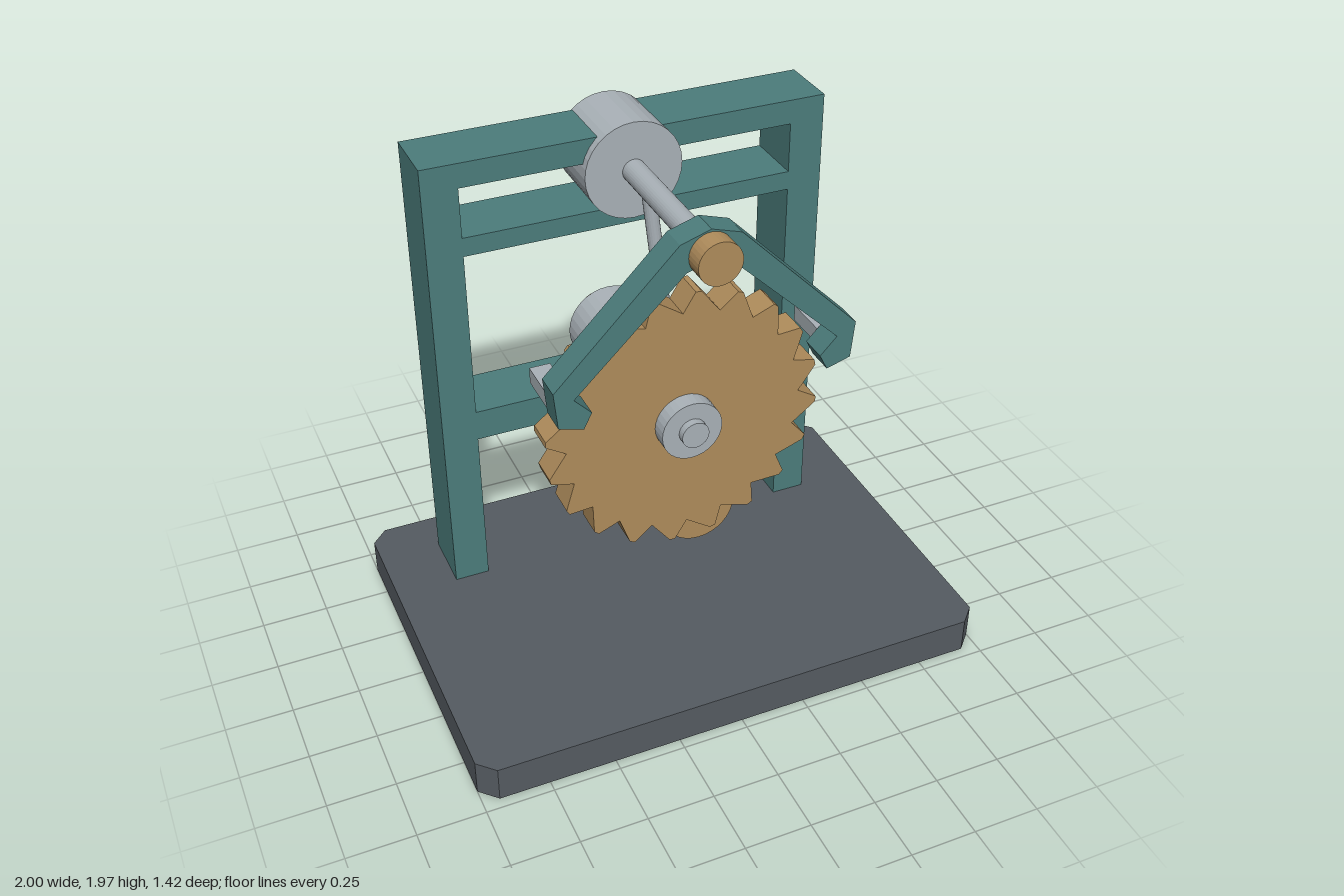
import * as THREE from 'three';

const mat = (color) => new THREE.MeshStandardMaterial({ color, flatShading: true });

export function createModel() {
  const model = new THREE.Group();
  model.name = 'pendulumEscapement';
  const teal = mat(0x4c7d7c), brass = mat(0xb08d5c), steel = mat(0xaab2b8), slate = mat(0x555b61);

  const add = (name, geometry, material) => {
    const mesh = new THREE.Mesh(geometry, material);
    mesh.name = name;
    model.add(mesh);
    return mesh;
  };
  // Box given by its minimum and maximum on each axis
  const box = (name, material, x0, x1, y0, y1, z0, z1) =>
    add(name, new THREE.BoxGeometry(x1 - x0, y1 - y0, z1 - z0), material)
      .position.set((x0 + x1) / 2, (y0 + y1) / 2, (z0 + z1) / 2);
  // Cylinder lying along z
  const disc = (name, material, r, x, y, z0, z1) =>
    add(name, new THREE.CylinderGeometry(r, r, z1 - z0, 32).rotateX(Math.PI / 2), material)
      .position.set(x, y, (z0 + z1) / 2);
  // Outline in x, y pushed from z0 to z1
  const plate = (name, material, points, z0, z1) => {
    const shape = new THREE.Shape(points.map(([x, y]) => new THREE.Vector2(x, y)));
    const geometry = new THREE.ExtrudeGeometry(shape, { depth: z1 - z0, bevelEnabled: false });
    return add(name, geometry.translate(0, 0, z0), material);
  };

  // Base with clipped corners
  const w = 1, d = 0.71, c = 0.062;
  plate('base', slate, [
    [-w + c, -d], [w - c, -d], [w, -d + c], [w, d - c],
    [w - c, d], [-w + c, d], [-w, d - c], [-w, -d + c],
  ], 0, 0.14).rotation.x = -Math.PI / 2;

  // Rear frame: two posts and three rails
  const zBack = -0.54, zFront = -0.3;
  box('rightPost', teal, -0.763, -0.63, 0.14, 1.925, zBack, zFront);
  box('leftPost', teal, 0.63, 0.763, 0.14, 1.925, zBack, zFront);
  for (const [name, y0, y1] of [
    ['topRail', 1.832, 1.925], ['upperRail', 1.567, 1.64], ['lowerRail', 0.785, 0.907],
  ]) box(name, teal, -0.63, 0.63, y0, y1, zBack, zFront);

  // Upper arbor
  const yTop = 1.787, yWheel = 1.0;
  disc('upperBearing', steel, 0.185, 0, yTop, -0.547, -0.267);
  disc('upperShaft', steel, 0.044, 0, yTop, -0.65, 0.44);
  disc('upperRearCap', brass, 0.082, 0, yTop, -0.657, -0.58);
  disc('upperFrontCap', brass, 0.08, 0, yTop, 0.37, 0.448);

  // Lower arbor
  disc('lowerBearing', steel, 0.163, 0, yWheel, -0.547, -0.267);
  disc('lowerShaft', steel, 0.052, 0, yWheel, -0.65, 0.275);
  disc('lowerRearCap', brass, 0.082, 0, yWheel, -0.657, -0.58);
  disc('wheelHub', steel, 0.116, 0, yWheel, 0.035, 0.245);

  // Escape wheel: twenty raked teeth with narrow blunt tips
  const teeth = 20, outline = [];
  for (let i = 0; i < teeth; i++) {
    for (const [offset, r] of [[-1.2, 0.53], [1.2, 0.53], [6.5, 0.453]]) {
      const a = THREE.MathUtils.degToRad(84.8 + offset + (i * 360) / teeth);
      outline.push([r * Math.cos(a), yWheel + r * Math.sin(a)]);
    }
  }
  plate('escapeWheel', brass, outline, 0.065, 0.18);

  // Anchor: one half outline mirrored across x = 0
  const outer = [[0.11, 1.842], [0.558, 1.39], [0.545, 1.25], [0.455, 1.223]];
  const inner = [[0.425, 1.283], [0.487, 1.348], [0.085, 1.735]];
  const half = [...outer, ...inner];
  const mirrored = half.map(([x, y]) => [-x, y]).reverse();
  plate('anchor', teal, [[0, 1.877], ...half, [0, 1.76], ...mirrored], 0.27, 0.373);

  // Pallets reaching back from the hooks to the teeth
  box('leftPallet', steel, 0.468, 0.543, 1.262, 1.322, 0.095, 0.28);
  box('rightPallet', steel, -0.543, -0.468, 1.262, 1.322, 0.095, 0.28);

  // Pendulum hanging from the upper shaft
  const zRod = -0.146;
  const pivot = new THREE.Vector3(0, yTop, zRod), bob = new THREE.Vector3(0.163, 0.395, zRod);
  const along = pivot.clone().sub(bob);
  const rod = add('pendulumRod', new THREE.CylinderGeometry(0.026, 0.026, along.length(), 20), steel);
  rod.position.copy(pivot).lerp(bob, 0.5);
  rod.quaternion.setFromUnitVectors(new THREE.Vector3(0, 1, 0), along.normalize());
  disc('pendulumBob', brass, 0.148, bob.x, bob.y, -0.25, -0.04);

  return model;
}
